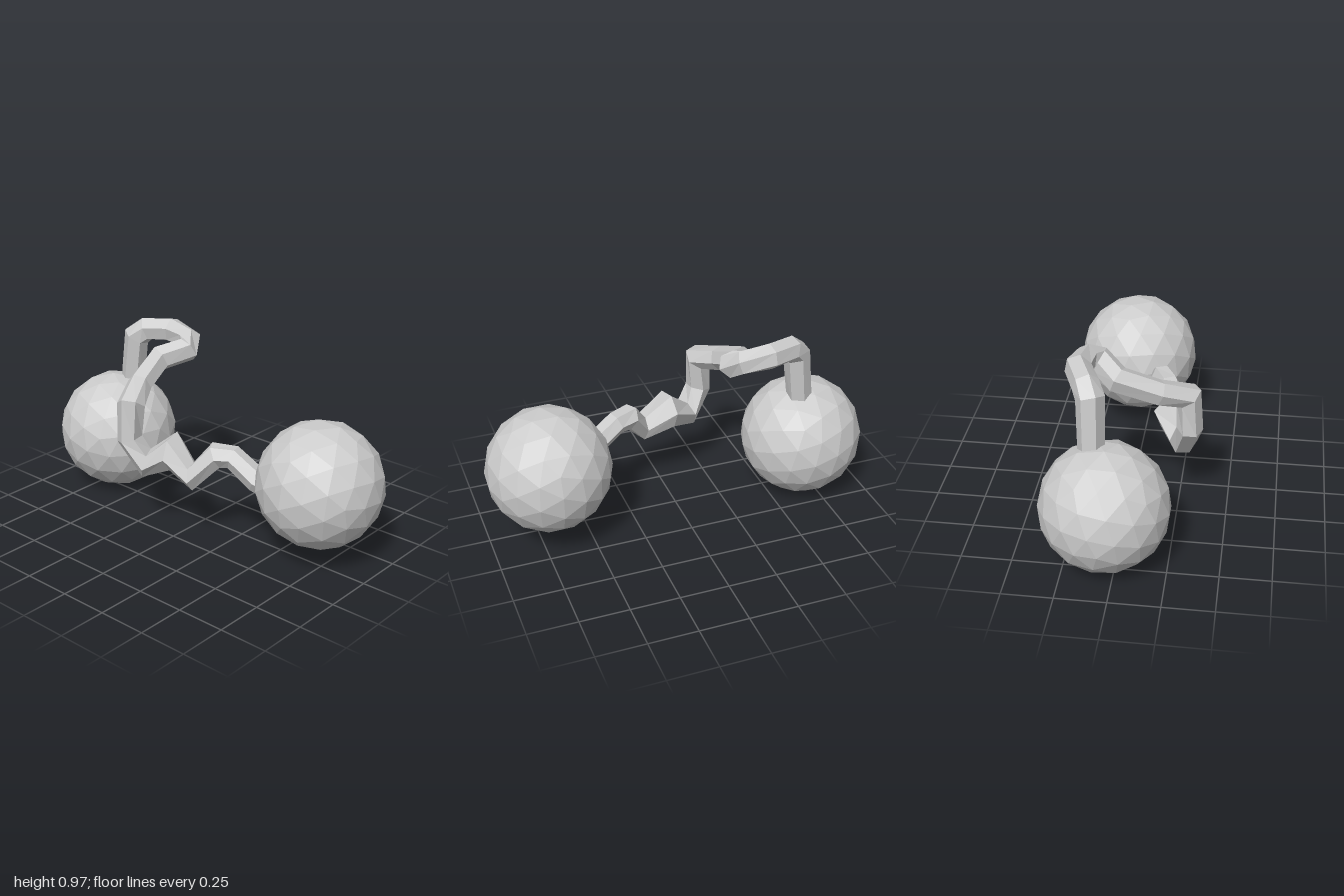
import * as THREE from 'three';

const material = new THREE.MeshStandardMaterial({ color: 0xcccccc, flatShading: true });

// Centre line of the connecting cord: x, y, z, radius
const PATH = [
  [-0.635, 0.56, -0.12, 0.064], [-0.6, 0.85, -0.125, 0.07], [-0.55, 0.895, -0.155, 0.066],
  [-0.42, 0.905, -0.21, 0.066], [-0.28, 0.885, -0.19, 0.064], [-0.245, 0.855, -0.135, 0.068],
  [-0.345, 0.81, -0.035, 0.068], [-0.305, 0.73, 0.16, 0.064], [-0.235, 0.68, 0.295, 0.072],
  [-0.24, 0.5, 0.305, 0.066], [-0.16, 0.375, 0.27, 0.075], [-0.035, 0.455, 0.205, 0.1],
  [0.11, 0.365, 0.22, 0.07], [0.2, 0.485, 0.15, 0.066], [0.28, 0.485, 0.115, 0.06],
  [0.41, 0.395, 0.09, 0.062], [0.47, 0.37, 0.07, 0.06],
];

// Sweeps a polygon along the path, carrying its orientation from ring to ring
function cordGeometry(path, sides) {
  const points = path.map(([x, y, z]) => new THREE.Vector3(x, y, z));
  const last = points.length - 1;
  const positions = [], index = [];
  const normal = new THREE.Vector3(0, 0, 1);
  points.forEach((p, i) => {
    const before = p.clone().sub(points[Math.max(i - 1, 0)]).normalize();
    const after = points[Math.min(i + 1, last)].clone().sub(p).normalize();
    const tangent = before.add(after).normalize();
    normal.addScaledVector(tangent, -normal.dot(tangent)).normalize();
    const binormal = tangent.clone().cross(normal);
    for (let j = 0; j < sides; j++) {
      const a = (j / sides) * Math.PI * 2;
      const v = p.clone()
        .addScaledVector(normal, Math.cos(a) * path[i][3])
        .addScaledVector(binormal, Math.sin(a) * path[i][3]);
      positions.push(v.x, v.y, v.z);
      if (i < last) {
        const k = (j + 1) % sides, r = i * sides, s = r + sides;
        index.push(r + j, r + k, s + j, r + k, s + k, s + j);
      }
    }
  });
  // End caps
  for (let j = 1; j < sides - 1; j++) {
    const e = last * sides;
    index.push(0, j + 1, j, e, e + j, e + j + 1);
  }
  const geometry = new THREE.BufferGeometry();
  geometry.setAttribute('position', new THREE.Float32BufferAttribute(positions, 3));
  geometry.setIndex(index);
  geometry.computeVertexNormals();
  return geometry;
}

// Faceted ball
function ball(name, x, y, z, turn) {
  const mesh = new THREE.Mesh(new THREE.IcosahedronGeometry(0.317, 2), material);
  mesh.name = name;
  mesh.position.set(x, y, z);
  mesh.rotation.set(turn, turn * 1.7, turn * 0.6);
  return mesh;
}

export function createModel() {
  const group = new THREE.Group();
  group.name = 'tetheredBalls';
  group.add(ball('rightBall', -0.685, 0.319, -0.053, 0.4));
  group.add(ball('leftBall', 0.685, 0.407, -0.055, 0.9));

  const cord = new THREE.Mesh(cordGeometry(PATH, 6), material);
  cord.name = 'cord';
  group.add(cord);
  return group;
}
